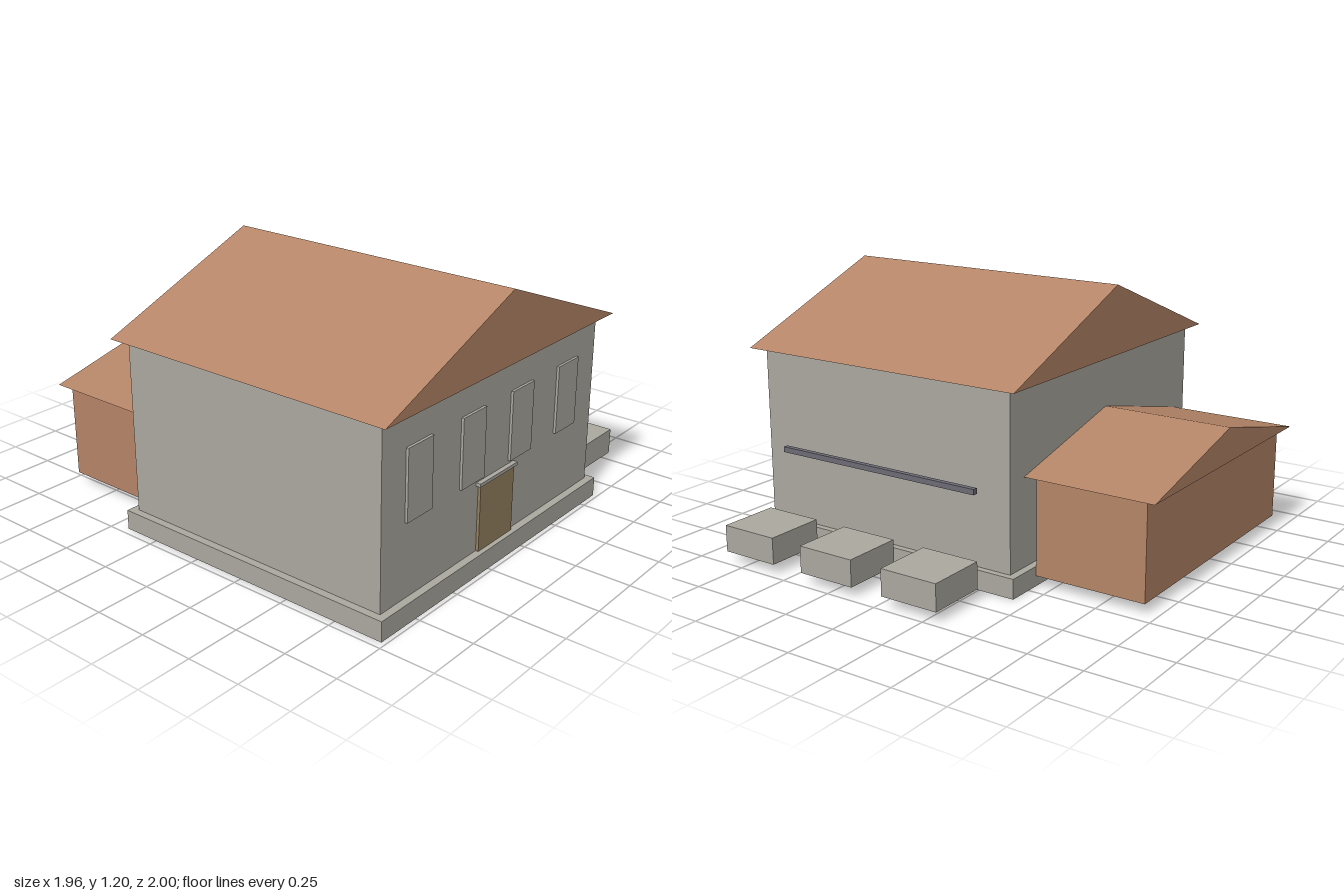
import * as THREE from 'three';

const paint = (name, color) => {
  const m = new THREE.MeshStandardMaterial({ color });
  m.name = name;
  return m;
};

export function createModel() {
  const model = new THREE.Group();
  model.name = 'house';
  const stone = paint('stone grey', 0xaba89f);
  const clay = paint('clay brown', 0xb58567);
  const wood = paint('door wood', 0x95815f);
  const metal = paint('dark metal', 0x6d6b75);

  const add = (name, geometry, material) => {
    const mesh = new THREE.Mesh(geometry, material);
    mesh.name = name;
    model.add(mesh);
    return mesh;
  };

  // Box given by its lower and upper limits on each axis
  const block = (name, material, [x0, x1], [y0, y1], [z0, z1]) =>
    add(name, new THREE.BoxGeometry(x1 - x0, y1 - y0, z1 - z0), material)
      .position.set((x0 + x1) / 2, (y0 + y1) / 2, (z0 + z1) / 2);

  // Closed gable prism with its ridge along z
  const gable = (name, [x0, x1], [y0, y1], [z0, z1]) => {
    const shape = new THREE.Shape();
    shape.moveTo(x0, y0);
    shape.lineTo(x1, y0);
    shape.lineTo((x0 + x1) / 2, y1);
    shape.closePath();
    const geometry = new THREE.ExtrudeGeometry(shape, { depth: z1 - z0, bevelEnabled: false });
    add(name, geometry, clay).position.z = z0;
  };

  // Main house
  block('plinth', stone, [-0.965, 0.615], [0, 0.09], [-0.425, 0.98]);
  block('walls', stone, [-0.93, 0.585], [0.09, 0.885], [-0.39, 0.945]);
  gable('mainRoof', [-0.983, 0.635], [0.885, 1.2], [-0.44, 1]);

  // Rear annex
  block('annexWalls', clay, [-0.8, 0.45], [0.05, 0.49], [-0.95, -0.43]);
  gable('annexRoof', [-0.835, 0.485], [0.49, 0.645], [-1, -0.39]);

  // Front door and lintel
  block('door', wood, [-0.295, -0.05], [0.09, 0.39], [0.945, 0.958]);
  block('lintel', stone, [-0.31, -0.037], [0.39, 0.405], [0.945, 0.966]);

  // Row of front windows
  for (const x of [-0.705, -0.35, 0, 0.355]) {
    block('window', stone, [x - 0.079, x + 0.079], [0.42, 0.73], [0.945, 0.957]);
  }

  // Side rail and the row of blocks beside it
  block('sideRail', metal, [0.623, 0.647], [0.43, 0.455], [-0.25, 0.807]);
  for (const z of [-0.165, 0.275, 0.715]) {
    block('sideBlock', stone, [0.7, 0.98], [0.048, 0.17], [z - 0.14, z + 0.14]);
  }

  return model;
}
